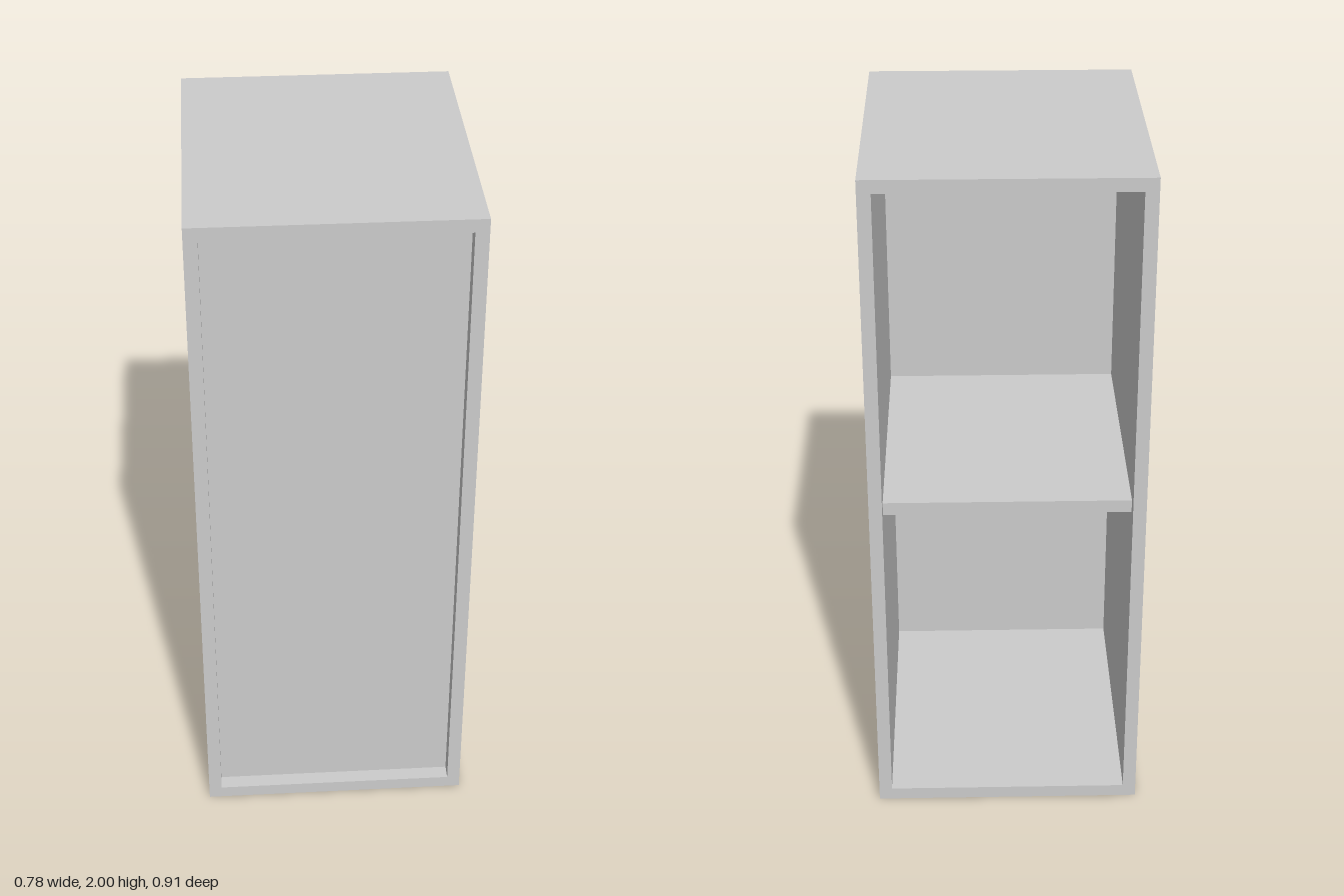
import * as THREE from 'three';

const W = 0.78, H = 2, D = 0.91; // outer size
const T = 0.038;                 // board thickness
const INSET = 0.045;             // setback of the front panel and the shelf
const PANEL = 0.02;              // front panel thickness

export function createModel() {
  const group = new THREE.Group();
  const material = new THREE.MeshStandardMaterial({ color: 0xcccccc, flatShading: true });

  function add(name, geometry, x, y, z) {
    const mesh = new THREE.Mesh(geometry, material);
    mesh.name = name;
    mesh.position.set(x, y, z);
    group.add(mesh);
  }

  const rect = (Type, w, h) => new Type([
    new THREE.Vector2(-w / 2, -h / 2), new THREE.Vector2(w / 2, -h / 2),
    new THREE.Vector2(w / 2, h / 2), new THREE.Vector2(-w / 2, h / 2),
  ]);

  // Carcass: sides, top and bottom as one open tube
  const innerW = W - 2 * T, innerH = H - 2 * T;
  const outline = rect(THREE.Shape, W, H);
  outline.holes.push(rect(THREE.Path, innerW, innerH));
  add('carcass', new THREE.ExtrudeGeometry(outline, { depth: D, bevelEnabled: false }), 0, H / 2, -D / 2);

  // Recessed panel closing the front
  const panelFront = D / 2 - INSET, panelBack = panelFront - PANEL;
  add('frontPanel', new THREE.BoxGeometry(innerW, innerH, PANEL), 0, H / 2, (panelFront + panelBack) / 2);

  // Middle shelf, set in from the open back
  const shelfBack = -D / 2 + INSET;
  add('shelf', new THREE.BoxGeometry(innerW, T, panelBack - shelfBack), 0, H / 2, (panelBack + shelfBack) / 2);

  return group;
}
